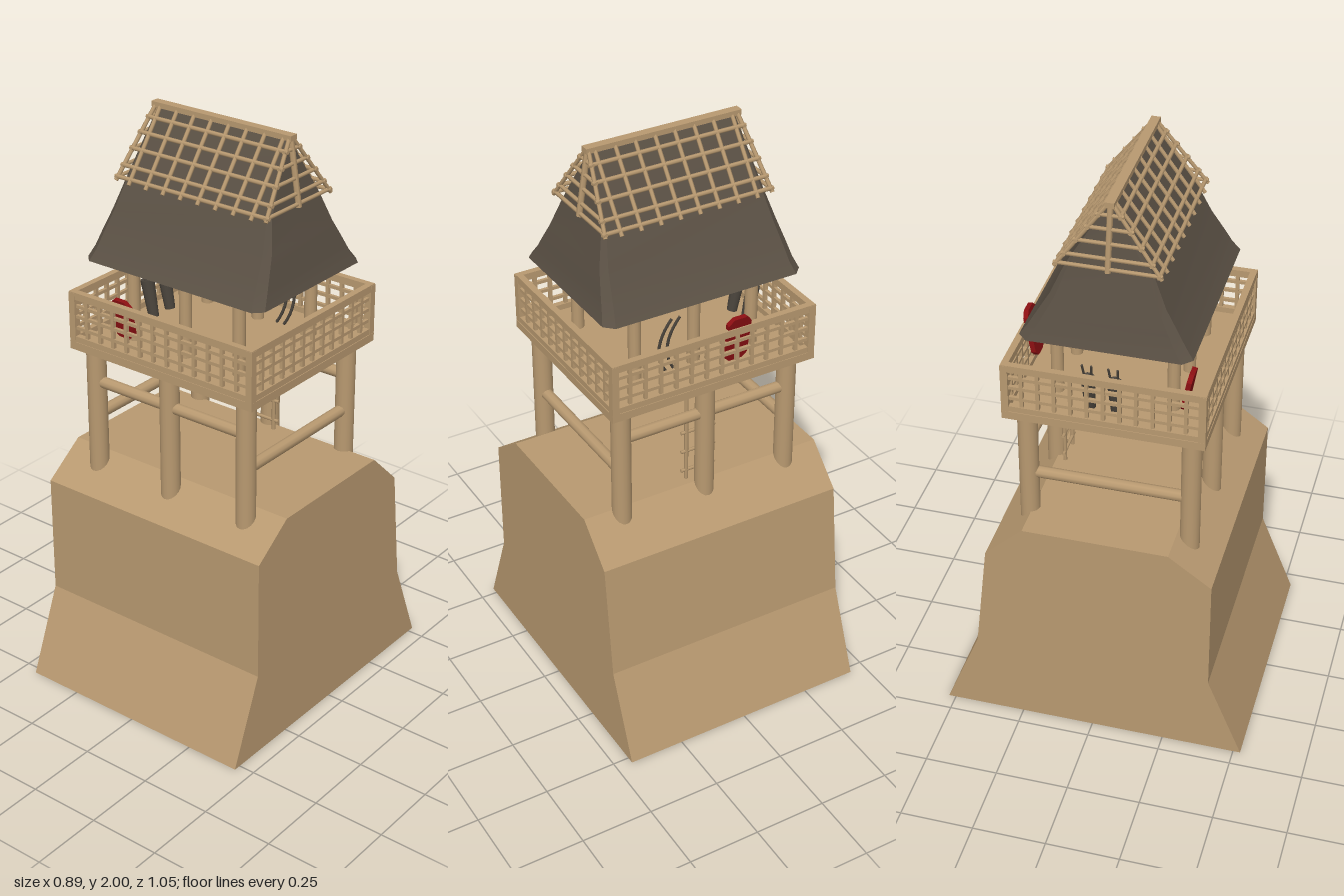
import * as THREE from 'three';
import { toCreasedNormals } from 'three/addons/utils/BufferGeometryUtils.js';

const mat = (name, color, side = THREE.FrontSide) => {
  const m = new THREE.MeshStandardMaterial({ color, side });
  m.name = name;
  return m;
};
const V = (x, y, z) => new THREE.Vector3(x, y, z);
const CZ = 0.025; // the tower sits slightly forward on its mound

export function createModel() {
  const wood = mat('tan wood', 0xb89970);
  const earth = mat('tan earth', 0xb89970, THREE.DoubleSide);
  const thatch = mat('dark thatch', 0x5a5044, THREE.DoubleSide);
  const red = mat('red lacquer', 0x8c0f12);
  const dark = mat('dark gear', 0x4a443c);

  const model = new THREE.Group();
  model.name = 'watchtower';
  const group = (name) => {
    const g = new THREE.Group();
    g.name = name;
    model.add(g);
    return g;
  };
  const add = (parent, name, geo, material) => {
    const m = new THREE.Mesh(geo, material);
    m.name = name;
    parent.add(m);
    return m;
  };
  const box = (parent, name, w, h, d, x, y, z, material = wood) => {
    const m = add(parent, name, new THREE.BoxGeometry(w, h, d), material);
    m.position.set(x, y, z);
    return m;
  };
  // round bar between two points
  const rod = (parent, name, a, b, r, sides = 6, material = wood) => {
    const dir = b.clone().sub(a);
    const m = add(parent, name, new THREE.CylinderGeometry(r, r, dir.length(), sides), material);
    m.position.copy(a).add(b).multiplyScalar(0.5);
    m.quaternion.setFromUnitVectors(V(0, 1, 0), dir.normalize());
    return m;
  };

  // mound: open-bottomed shell swept along x
  const mound = group('mound');
  const profile = [[0.525, 0], [0.405, 0.3], [0.405, 0.72], [0.26, 0.825],
    [-0.23, 0.825], [-0.36, 0.7], [-0.405, 0.3], [-0.525, 0]];
  const HX = 0.443;
  const skin = [];
  for (let i = 0; i < profile.length - 1; i++) {
    const [z0, y0] = profile[i], [z1, y1] = profile[i + 1];
    skin.push(-HX, y0, z0, HX, y0, z0, HX, y1, z1, -HX, y0, z0, HX, y1, z1, -HX, y1, z1);
  }
  const skinGeo = new THREE.BufferGeometry();
  skinGeo.setAttribute('position', new THREE.Float32BufferAttribute(skin, 3));
  skinGeo.computeVertexNormals();
  add(mound, 'moundSkin', skinGeo, earth);
  const endShape = new THREE.Shape(profile.map(([z, y]) => new THREE.Vector2(z, y)));
  const mirrored = new THREE.Shape(profile.map(([z, y]) => new THREE.Vector2(-z, y)));
  const rightEnd = add(mound, 'moundEnd', new THREE.ShapeGeometry(endShape), earth);
  rightEnd.rotation.y = -Math.PI / 2;
  rightEnd.position.x = -HX;
  const leftEnd = add(mound, 'moundEnd', new THREE.ShapeGeometry(mirrored), earth);
  leftEnd.rotation.y = Math.PI / 2;
  leftEnd.position.x = HX;

  // legs and cross beams
  const legs = group('legs');
  for (const z of [0.3, -0.24]) {
    for (const x of [-0.31, 0, 0.31]) rod(legs, 'leg', V(x, 0.4, z), V(x, 1.225, z), 0.033, 16);
    rod(legs, 'longBeam', V(-0.31, 1.1, z), V(0.31, 1.1, z), 0.02, 10);
  }
  for (const x of [-0.31, 0.31]) rod(legs, 'sideBeam', V(x, 0.975, 0.3), V(x, 0.975, -0.24), 0.02, 10);

  // ladder behind the middle back leg
  const ladder = group('ladder');
  for (const x of [-0.045, 0.045]) rod(ladder, 'ladderRail', V(x, 0.81, -0.2), V(x, 1.23, -0.2), 0.007);
  for (let i = 0; i < 6; i++) {
    const y = 0.86 + i * 0.075;
    rod(ladder, 'rung', V(-0.065, y, -0.2), V(0.065, y, -0.2), 0.006);
  }

  // platform with lattice railing
  const deck = group('platform');
  box(deck, 'floor', 0.745, 0.028, 0.66, 0, 1.233, CZ);
  const W = 0.36, D = 0.318;
  for (const s of [-1, 1]) {
    const z = CZ + s * D, x = s * W;
    for (const [y, h, t] of [[1.41, 0.025, 0.022], [1.257, 0.02, 0.02], [1.295, 0.011, 0.011],
      [1.335, 0.011, 0.011], [1.372, 0.011, 0.011]]) {
      box(deck, 'longRail', 2 * W + t, h, t, 0, y, z);
      box(deck, 'sideRail', t, h, 2 * D - t, x, y, CZ);
    }
    for (let i = 1; i < 13; i++) box(deck, 'slat', 0.012, 0.17, 0.012, -W + (i / 13) * 2 * W, 1.325, z);
    for (let i = 1; i < 12; i++) box(deck, 'slat', 0.012, 0.17, 0.012, x, 1.325, CZ - D + (i / 12) * 2 * D);
    for (const e of [-1, 1]) box(deck, 'cornerPost', 0.024, 0.18, 0.024, e * W, 1.33, z);
  }

  // roof posts and plates
  const frame = group('roofFrame');
  for (const s of [-1, 1]) {
    const z = CZ + s * 0.19;
    for (const x of [-0.215, 0, 0.215]) rod(frame, 'roofPost', V(x, 1.24, z), V(x, 1.6, z), 0.021, 12);
    rod(frame, 'roofPlate', V(-0.23, 1.585, z), V(0.23, 1.585, z), 0.016, 8);
    rod(frame, 'tieBeam', V(s * 0.215, 1.585, CZ - 0.19), V(s * 0.215, 1.585, CZ + 0.19), 0.016, 8);
  }

  // thatched roof: chamfered rectangles [height, half width, half depth, chamfer]
  const roof = group('roof');
  const rings = [[1.52, 0.357, 0.276, 0.03], [1.555, 0.345, 0.25, 0.028], [1.6, 0.335, 0.224, 0.025],
    [1.67, 0.318, 0.182, 0.02], [1.77, 0.29, 0.138, 0.012], [1.98, 0.255, 0.01, 0.004]];
  const pos = [], idx = [];
  for (const [y, a, b, c] of rings) {
    for (const [x, z] of [[a - c, b], [a, b - c], [a, c - b], [a - c, -b],
      [c - a, -b], [-a, c - b], [-a, b - c], [c - a, b]]) pos.push(x, y, z + CZ);
  }
  for (let r = 0; r < rings.length - 1; r++) {
    for (let i = 0; i < 8; i++) {
      const p = r * 8 + i, q = r * 8 + (i + 1) % 8;
      idx.push(p, q, q + 8, p, q + 8, p + 8);
    }
  }
  const top = (rings.length - 1) * 8;
  for (let i = 1; i < 7; i++) idx.push(top, top + i, top + i + 1);
  const roofGeo = new THREE.BufferGeometry();
  roofGeo.setAttribute('position', new THREE.Float32BufferAttribute(pos, 3));
  roofGeo.setIndex(idx);
  add(roof, 'thatch', toCreasedNormals(roofGeo, 0.5), thatch);

  // bamboo lattice over the gable; t runs from its lower edge to the ridge
  const lattice = group('roofLattice');
  const yAt = (t) => 1.77 + 0.218 * t;
  const zAt = (t) => 0.162 * (1 - t) + 0.006;
  const xAt = (t) => 0.298 - 0.035 * t;
  box(lattice, 'ridgePole', 0.55, 0.018, 0.03, 0, 1.988, CZ);
  for (const s of [-1, 1]) {
    for (let i = 0; i < 8; i++) {
      const x = -0.243 + i * 0.0694;
      rod(lattice, 'batten', V(x, yAt(-0.02), CZ + s * zAt(-0.02)), V(x, yAt(1), CZ + s * zAt(1)), 0.007);
    }
    for (const t of [0.05, 0.2, 0.42, 0.63, 0.83]) {
      const x = xAt(t), y = yAt(t), z = zAt(t);
      rod(lattice, 'crossBar', V(-x - 0.01, y, CZ + s * z), V(x + 0.01, y, CZ + s * z), 0.007);
      rod(lattice, 'gableBar', V(s * x, y, CZ - z - 0.01), V(s * x, y, CZ + z + 0.01), 0.007);
    }
    for (const e of [-1, 0, 1]) {
      rod(lattice, 'gableBatten', V(s * xAt(0), yAt(0), CZ + e * zAt(0)),
        V(s * xAt(1), yAt(1), CZ + e * zAt(1)), e ? 0.007 : 0.01);
    }
  }

  // eight-sided shields leaning on the railing
  const gear = group('gear');
  const shield = (x, y, z, h, tilt) => {
    const w = 0.042, c = 0.02;
    const s = new THREE.Shape([[c - w, -h], [w - c, -h], [w, c - h], [w, h - c], [w - c, h],
      [c - w, h], [-w, h - c], [-w, c - h]].map(([u, v]) => new THREE.Vector2(u, v)));
    const geo = new THREE.ExtrudeGeometry(s, { depth: 0.016, bevelEnabled: false }).translate(0, 0, -0.008);
    const m = add(gear, 'shield', geo, red);
    m.position.set(x, y, z);
    m.rotation.x = tilt;
  };
  shield(-0.088, 1.375, -0.283, 0.085, -0.18);
  shield(-0.22, 1.335, 0.265, 0.07, 0.18);

  // bows and quivers
  for (const x of [0.09, 0.12]) {
    const curve = new THREE.QuadraticBezierCurve3(V(x - 0.015, 1.25, -0.17), V(x + 0.05, 1.35, -0.18), V(x - 0.02, 1.46, -0.2));
    add(gear, 'bow', new THREE.TubeGeometry(curve, 10, 0.005, 6), dark);
  }
  for (const z of [-0.04, 0.045]) {
    const q = add(gear, 'quiver', new THREE.CylinderGeometry(0.024, 0.018, 0.13, 10), dark);
    q.position.set(-0.29, 1.312, z);
    q.rotation.z = 0.2;
    for (const d of [-0.01, 0.01]) rod(gear, 'arrow', V(-0.295, 1.36, z + d), V(-0.315, 1.43, z + d * 1.5), 0.004, 5, dark);
  }
  return model;
}
